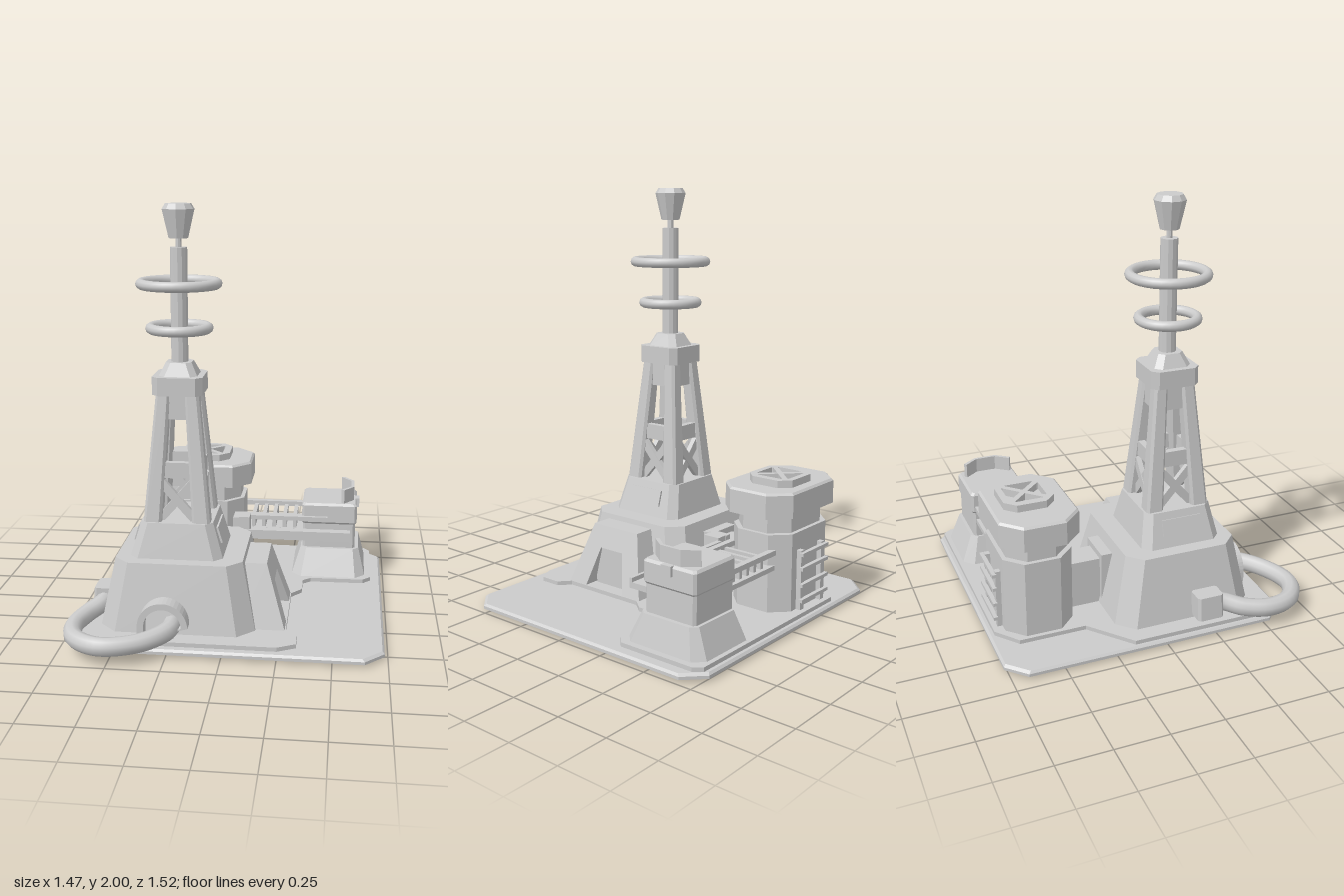
import * as THREE from 'three';

const flat = new THREE.MeshStandardMaterial({ color: 0xcccccc, flatShading: true });
const smooth = new THREE.MeshStandardMaterial({ color: 0xcccccc });

// chamfered rectangle as [x, z] points
function octagon(x0, x1, z0, z1, c) {
  return [[x1, z0 + c], [x1, z1 - c], [x1 - c, z1], [x0 + c, z1],
    [x0, z1 - c], [x0, z0 + c], [x0 + c, z0], [x1 - c, z0]];
}

// solid through chamfered sections, each [y, x0, x1, z0, z1, chamfer]
function loft(sections) {
  const rings = sections.map(([y, ...r]) => octagon(...r).map(([x, z]) => [x, y, z]));
  const v = [];
  const n = 8;
  for (let s = 0; s < rings.length - 1; s++) {
    const a = rings[s], b = rings[s + 1];
    for (let i = 0; i < n; i++) {
      const j = (i + 1) % n;
      v.push(...a[i], ...b[i], ...a[j], ...a[j], ...b[i], ...b[j]);
    }
  }
  const lo = rings[0], hi = rings[rings.length - 1];
  for (let i = 1; i < n - 1; i++) {
    v.push(...lo[0], ...lo[i], ...lo[i + 1], ...hi[0], ...hi[i + 1], ...hi[i]);
  }
  const g = new THREE.BufferGeometry();
  g.setAttribute('position', new THREE.Float32BufferAttribute(v, 3));
  g.computeVertexNormals();
  return g;
}

const toShape = pts => new THREE.Shape(pts.map(p => new THREE.Vector2(...p)));

// horizontal slab from an [x, z] outline
function slab(shape, y0, y1) {
  return new THREE.ExtrudeGeometry(shape, { depth: y1 - y0, bevelEnabled: false })
    .rotateX(Math.PI / 2).translate(0, y1, 0);
}

function add(parent, name, geometry, material = flat) {
  const m = new THREE.Mesh(geometry, material);
  m.name = name;
  parent.add(m);
  return m;
}

function box(parent, name, x0, x1, y0, y1, z0, z1) {
  return add(parent, name, new THREE.BoxGeometry(x1 - x0, y1 - y0, z1 - z0)
    .translate((x0 + x1) / 2, (y0 + y1) / 2, (z0 + z1) / 2));
}

function group(parent, name, x = 0, y = 0, z = 0) {
  const g = new THREE.Group();
  g.name = name;
  g.position.set(x, y, z);
  parent.add(g);
  return g;
}

function buildGround(root) {
  const g = group(root, 'ground');
  add(g, 'basePlate', loft([[0.012, -0.69, 0.735, -0.765, 0.615, 0.09],
    [0.026, -0.69, 0.735, -0.765, 0.615, 0.09], [0.036, -0.68, 0.725, -0.755, 0.605, 0.09]]));
  const outline = [[-0.36, -0.74], [0.65, -0.74], [0.68, -0.7], [0.68, -0.31], [0.64, -0.27], [0.37, -0.265],
    [0.33, -0.23], [0.33, -0.11], [0.28, -0.05], [0.28, 0.38], [0.335, 0.43], [0.335, 0.53],
    [0.25, 0.575], [-0.63, 0.575], [-0.67, 0.53], [-0.67, -0.16], [-0.47, -0.33], [-0.47, -0.65]];
  add(g, 'raisedFloor', slab(toShape(outline), 0.03, 0.056));
}

function buildTower(root) {
  const g = group(root, 'tower');
  add(g, 'lowerPlinth', loft([[0.05, -0.59, 0.14, -0.2, 0.49, 0.08], [0.375, -0.525, 0.075, -0.125, 0.43, 0.07]]));
  add(g, 'upperPlinth', loft([[0.37, -0.46, -0.02, -0.03, 0.37, 0.04], [0.54, -0.41, -0.07, 0, 0.335, 0.035]]));

  // everything above is centred on the mast
  const t = group(g, 'mastTower', -0.24, 0, 0.167);
  for (const s of [-1, 1]) {
    const p = add(t, 'sidePanel', new THREE.BoxGeometry(0.014, 0.078, 0.2));
    p.position.set(s * 0.194, 0.468, 0.005);
    p.rotation.z = s * 0.29;
  }
  for (const sx of [-1, 1]) for (const sz of [-1, 1]) {
    const span = (s, a, b) => s > 0 ? [a, b] : [-b, -a];
    add(t, 'leg', loft([[0.53, ...span(sx, 0.073, 0.158), ...span(sz, 0.073, 0.158), 0.012],
      [1.14, ...span(sx, 0.034, 0.1), ...span(sz, 0.034, 0.1), 0.012]]));
  }
  for (let i = 0; i < 4; i++) {
    const side = group(t, 'sideBracing');
    side.rotation.y = i * Math.PI / 2;
    for (const s of [-1, 1]) {
      const b = add(side, 'crossBrace', new THREE.BoxGeometry(0.04, 0.26, 0.025));
      b.position.set(0, 0.64, 0.112 + s * 0.002);
      b.rotation.z = s * 0.72;
    }
    box(side, 'crossBar', -0.07, 0.07, 0.745, 0.82, 0.085, 0.118);
    box(side, 'topWeb', -0.05, 0.05, 1.02, 1.14, 0.06, 0.092);
  }
  add(t, 'cap', loft([[1.135, -0.118, 0.118, -0.118, 0.118, 0.03], [1.22, -0.118, 0.118, -0.118, 0.118, 0.03]]));
  add(t, 'mastFoot', loft([[1.215, -0.092, 0.092, -0.092, 0.092, 0.03], [1.28, -0.06, 0.06, -0.06, 0.06, 0.025]]));
  add(t, 'mast', new THREE.CylinderGeometry(0.04, 0.04, 0.53, 12).translate(0, 1.54, 0));
  add(t, 'rod', new THREE.CylinderGeometry(0.014, 0.014, 0.06, 8).translate(0, 1.825, 0));
  const knob = [[0, 1.845], [0.045, 1.845], [0.075, 1.975], [0.06, 2], [0, 2]];
  add(t, 'knob', new THREE.LatheGeometry(knob.map(p => new THREE.Vector2(...p)), 10));
  for (const [r, y] of [[0.134, 1.435], [0.176, 1.64]]) {
    add(t, 'ring', new THREE.TorusGeometry(r, 0.024, 10, 32).rotateX(Math.PI / 2).translate(0, y, 0), smooth);
  }
}

function buildPlinthFittings(root) {
  const g = group(root, 'plinthFittings');
  // side buttress with a notch, its outer face leaning in toward the top
  const notch = [[-0.23, 0.05], [-0.12, 0.05], [-0.07, 0.245], [0.07, 0.245], [0.12, 0.05],
    [0.23, 0.05], [0.14, 0.35], [-0.14, 0.35]];
  const geo = new THREE.ExtrudeGeometry(toShape(notch), { depth: 1, bevelEnabled: false }).rotateY(Math.PI / 2);
  const p = geo.attributes.position;
  for (let i = 0; i < p.count; i++) {
    const outer = 0.277 - (p.getY(i) - 0.05) * 0.31;
    p.setX(i, 0.05 + p.getX(i) * (outer - 0.05));
  }
  geo.computeVertexNormals();
  add(g, 'buttress', geo.translate(0, 0, 0.167));
  box(g, 'buttressRecess', 0.06, 0.207, 0.05, 0.26, 0.06, 0.275);

  // arched hose port
  const arch = (r, path) => path.moveTo(r, 0).absarc(0, 0.055, r, 0, Math.PI, false).lineTo(-r, 0).closePath();
  const shape = arch(0.117, new THREE.Shape());
  shape.holes.push(arch(0.087, new THREE.Path()));
  add(g, 'hosePort', new THREE.ExtrudeGeometry(shape, { depth: 0.13, bevelEnabled: false, curveSegments: 10 })
    .translate(-0.277, 0.053, 0.41));

  // hose looping round to the wall box
  const pts = [[-0.24, 0.1, 0.44], [-0.25, 0.1, 0.55], [-0.36, 0.09, 0.667], [-0.53, 0.088, 0.717],
    [-0.655, 0.088, 0.645], [-0.692, 0.09, 0.52], [-0.66, 0.1, 0.4], [-0.605, 0.12, 0.31], [-0.6, 0.125, 0.25]];
  const curve = new THREE.CatmullRomCurve3(pts.map(q => new THREE.Vector3(...q)));
  add(g, 'hose', new THREE.TubeGeometry(curve, 40, 0.043, 10), smooth);
  add(g, 'hoseBox', loft([[0.07, -0.66, -0.56, 0.165, 0.295, 0.012], [0.185, -0.65, -0.56, 0.165, 0.295, 0.012]]));

  // duct to the rear tank
  box(g, 'ductCollar', -0.32, -0.13, 0.05, 0.32, -0.192, -0.08);
  box(g, 'duct', -0.295, -0.16, 0.05, 0.29, -0.38, -0.18);
}

function buildTank(root) {
  const g = group(root, 'tank');
  add(g, 'tankBody', loft([[0.05, -0.45, 0, -0.69, -0.36, 0.08], [0.43, -0.45, 0, -0.69, -0.36, 0.08]]));
  add(g, 'tankNeck', loft([[0.42, -0.43, -0.02, -0.67, -0.375, 0.08], [0.52, -0.43, -0.02, -0.67, -0.375, 0.08]]));
  add(g, 'tankLid', loft([[0.515, -0.49, 0.04, -0.71, -0.33, 0.09],
    [0.625, -0.49, 0.04, -0.71, -0.33, 0.09], [0.635, -0.48, 0.03, -0.7, -0.34, 0.085]]));

  // vent with four openings around a diagonal cross
  const vent = toShape(octagon(-0.128, 0.128, -0.12, 0.12, 0.05));
  for (let i = 0; i < 4; i++) {
    const hole = [[-0.065, 0.09], [0.065, 0.09], [0.065, 0.083], [0, 0.018], [-0.065, 0.083]];
    vent.holes.push(new THREE.Path(hole.map(h =>
      new THREE.Vector2(...h).rotateAround(new THREE.Vector2(), i * Math.PI / 2))));
  }
  add(g, 'vent', slab(vent, 0.63, 0.67).translate(-0.208, 0, -0.532));

  // rear ladder
  for (const x of [-0.31, -0.135]) box(g, 'ladderRail', x - 0.014, x + 0.014, 0.05, 0.345, -0.715, -0.68);
  for (const y of [0.105, 0.18, 0.26, 0.33]) box(g, 'ladderRung', -0.335, -0.11, y - 0.008, y + 0.008, -0.732, -0.712);
}

function buildAnnex(root) {
  const g = group(root, 'annex');
  add(g, 'annexPlinth', loft([[0.05, 0.265, 0.65, -0.72, -0.285, 0.05], [0.19, 0.31, 0.615, -0.665, -0.355, 0.03]]));
  add(g, 'annexBody', loft([[0.18, 0.32, 0.595, -0.65, -0.375, 0.012], [0.32, 0.32, 0.595, -0.65, -0.375, 0.012],
    [0.33, 0.315, 0.603, -0.657, -0.368, 0.012], [0.42, 0.315, 0.603, -0.657, -0.368, 0.012],
    [0.432, 0.325, 0.593, -0.647, -0.378, 0.012]]));
  box(g, 'latch', 0.585, 0.615, 0.385, 0.432, -0.535, -0.48);
  // bent roof shield
  const fin = [[0.52, -0.625], [0.572, -0.56], [0.572, -0.46], [0.52, -0.395], [0.535, -0.385],
    [0.587, -0.455], [0.587, -0.565], [0.535, -0.635]];
  add(g, 'roofShield', slab(toShape(fin), 0.425, 0.505));

  // bridge between tank and annex
  for (const z of [-0.625, -0.395]) box(g, 'bridgeRail', -0.02, 0.33, 0.335, 0.36, z - 0.015, z + 0.015);
  box(g, 'bridgeDeck', -0.02, 0.33, 0.262, 0.285, -0.635, -0.385);
  for (const x of [0.055, 0.11, 0.165, 0.22, 0.275]) box(g, 'bridgeSlat', x - 0.01, x + 0.01, 0.28, 0.345, -0.615, -0.4);

  // cable tray along the front
  box(g, 'trayPost', -0.04, -0.01, 0, 0.375, -0.365, -0.265);
  box(g, 'trayBracket', -0.02, 0.045, 0.24, 0.375, -0.36, -0.275);
  box(g, 'tray', -0.01, 0.57, 0.262, 0.29, -0.37, -0.265);
  box(g, 'trayLip', -0.01, 0.57, 0.285, 0.31, -0.28, -0.265);
  box(g, 'upperPipe', 0.04, 0.45, 0.34, 0.362, -0.375, -0.35);
}

export function createModel() {
  const root = new THREE.Group();
  root.name = 'transmitterStation';
  buildGround(root);
  buildTower(root);
  buildPlinthFittings(root);
  buildTank(root);
  buildAnnex(root);
  return root;
}
